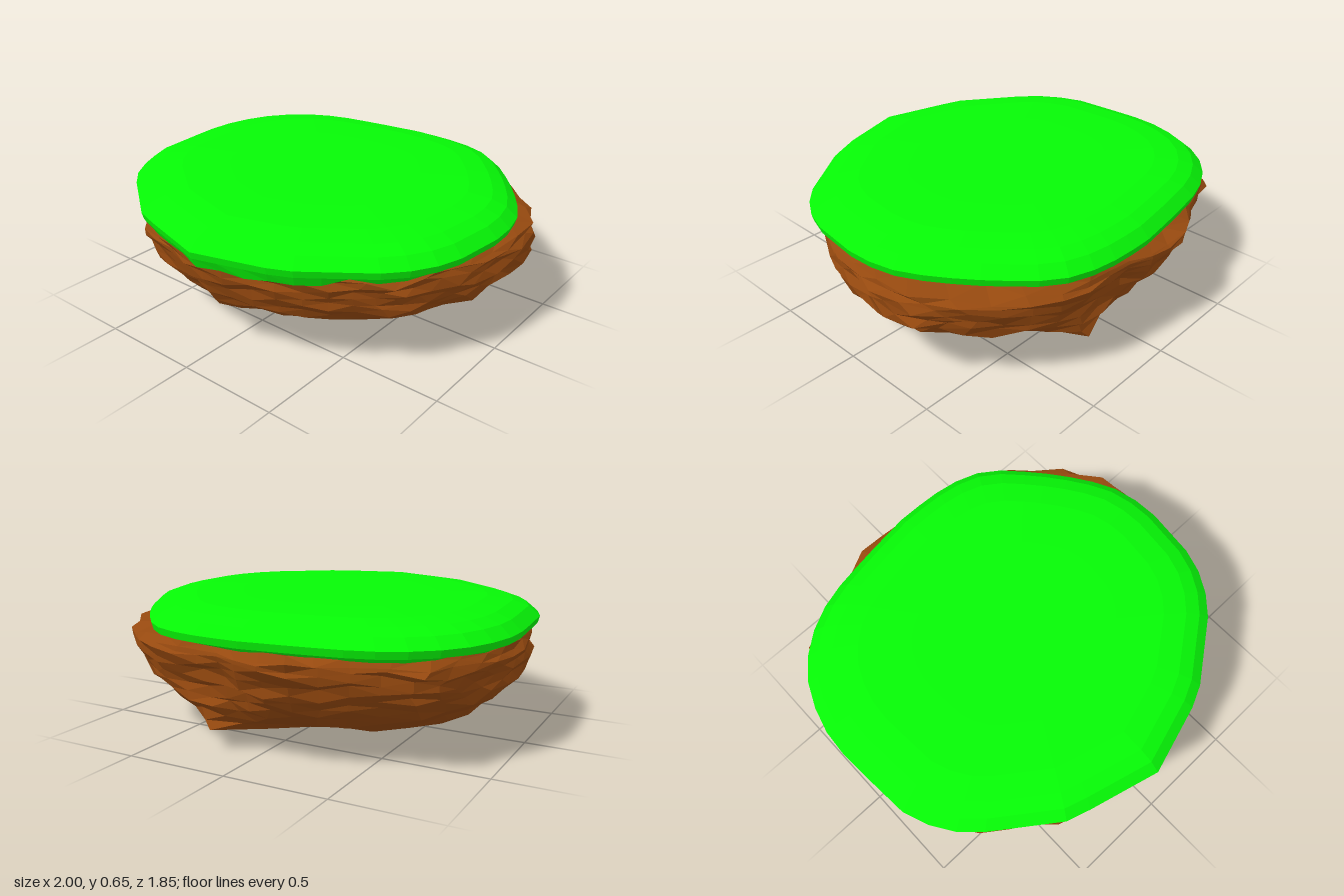
import * as THREE from 'three';
import { mergeVertices } from 'three/addons/utils/BufferGeometryUtils.js';

const SEGMENTS = 48;

// Plan outlines as [x, z], in order of rising angle from +x towards +z
const grassOutline = [
  [0.96, 0], [0.93, 0.25], [0.88, 0.4], [0.78, 0.54], [0.41, 0.81], [0, 0.93], [-0.45, 0.81],
  [-0.82, 0.54], [-0.91, 0.42], [-0.97, 0.28], [-0.99, 0], [-1, -0.2], [-0.97, -0.35],
  [-0.91, -0.5], [-0.8, -0.64], [-0.65, -0.75], [-0.45, -0.81], [-0.2, -0.85], [0.03, -0.88],
  [0.25, -0.87], [0.42, -0.84], [0.54, -0.77], [0.7, -0.6], [0.85, -0.4], [0.95, -0.2],
];
const rockOutline = [
  [0.97, 0], [0.96, 0.12], [0.9, 0.25], [0.76, 0.51], [0.4, 0.78], [0, 0.9], [-0.45, 0.81],
  [-0.8, 0.53], [-0.89, 0.42], [-0.95, 0.27], [-0.97, 0], [-0.97, -0.2], [-0.94, -0.36],
  [-0.88, -0.5], [-0.79, -0.69], [-0.62, -0.74], [-0.45, -0.82], [-0.3, -0.9], [-0.03, -0.93],
  [0.1, -0.88], [0.25, -0.86], [0.48, -0.84], [0.55, -0.81], [0.72, -0.69], [0.83, -0.58],
  [0.88, -0.48], [0.98, -0.38], [1, -0.2],
];

// Repeatable noise from 0 to 1
function noise(i, j) {
  const n = Math.sin(i * 127.1 + j * 311.7) * 43758.5453;
  return n - Math.floor(n);
}

// Distance from the centre to an outline along an angle
function reach(outline, angle) {
  const dx = Math.cos(angle), dz = Math.sin(angle);
  for (let k = 0; k < outline.length; k++) {
    const [px, pz] = outline[k], [qx, qz] = outline[(k + 1) % outline.length];
    if (px * dz - pz * dx >= -1e-9 && dx * qz - dz * qx > 0) {
      return (px * qz - pz * qx) / (dx * (qz - pz) - dz * (qx - px));
    }
  }
  return 1;
}

function makeMesh(name, geometry, color) {
  geometry.computeVertexNormals();
  const mesh = new THREE.Mesh(geometry, new THREE.MeshStandardMaterial({ color, flatShading: true }));
  mesh.name = name;
  return mesh;
}

// Grass cap: rings [scale, y] from a nearly flat top over a rounded rim to a ragged hem
function grassGeometry() {
  const rings = [[0, 0.65], [0.5, 0.648], [0.75, 0.643], [0.87, 0.628], [0.945, 0.602],
    [1, 0.555], [0.99, 0.52], [0.965, 0.475], [0.85, 0.475]];
  const positions = [], indices = [];
  rings.forEach(([scale, y], i) => {
    for (let j = 0; j < SEGMENTS; j++) {
      const angle = (j / SEGMENTS) * Math.PI * 2;
      const r = reach(grassOutline, angle) * scale;
      // The hem hangs lowest at the front
      const rise = 0.04 * THREE.MathUtils.clamp((0.9 - Math.sin(angle)) * 2, 0, 1);
      const hem = i >= 7 ? (noise(i, j) - 0.5) * 0.035 + rise : 0;
      positions.push(r * Math.cos(angle), y + hem, r * Math.sin(angle));
      if (i === rings.length - 1) continue;
      const a = i * SEGMENTS + j, b = i * SEGMENTS + (j + 1) % SEGMENTS;
      indices.push(a, b, a + SEGMENTS, b, b + SEGMENTS, a + SEGMENTS);
    }
  });
  const geometry = new THREE.BufferGeometry();
  geometry.setAttribute('position', new THREE.Float32BufferAttribute(positions, 3));
  geometry.setIndex(indices);
  return geometry;
}

// Rock body: a faceted ball reshaped by a profile from its top pole to its bottom pole
function rockGeometry() {
  // [y, scale towards +x, +z, -x and -z, extra bulge at the back]
  const profile = [
    [0.57, 0, 0, 0, 0, 0],
    [0.57, 0.4, 0.4, 0.4, 0.4, 0],
    [0.56, 0.8, 0.8, 0.8, 0.8, 0],
    [0.53, 0.95, 0.95, 0.95, 0.95, 0],
    [0.49, 0.985, 0.985, 0.985, 0.985, 0],
    [0.45, 1, 0.98, 1, 1, 0],
    [0.385, 0.99, 0.955, 0.995, 0.95, 0],
    [0.315, 0.965, 0.925, 0.985, 0.91, 0],
    [0.245, 0.9, 0.86, 0.91, 0.86, 0.06],
    [0.16, 0.62, 0.73, 0.83, 0.7, 0.2],
    [0.085, 0.46, 0.54, 0.6, 0.52, 0.36],
    [0.03, 0.27, 0.3, 0.32, 0.28, 0.1],
    [-0.01, 0, 0, 0, 0, 0],
  ];
  const ball = new THREE.IcosahedronGeometry(1, 7);
  ball.deleteAttribute('normal');
  ball.deleteAttribute('uv');
  const geometry = mergeVertices(ball, 1e-3);
  const position = geometry.attributes.position;
  const v = new THREE.Vector3();
  for (let k = 0; k < position.count; k++) {
    v.fromBufferAttribute(position, k).normalize();
    const angle = Math.atan2(v.z, v.x), c = Math.cos(angle), s = Math.sin(angle);
    const t = (Math.acos(v.y) / Math.PI) * (profile.length - 1);
    const row = Math.min(Math.floor(t), profile.length - 2);
    const [y, right, front, left, rear, bulge] = profile[row].map(
      (value, n) => THREE.MathUtils.lerp(value, profile[row + 1][n], t - row));
    const scale = c * c * (c > 0 ? right : left) + s * s * (s > 0 ? front : rear);
    const back = s < 0 ? Math.exp(-(((c - 0.28) / 0.3) ** 2)) : 0;
    let r = reach(rockOutline, angle) * (scale + bulge * back)
      + (noise(k, 1) - 0.55) * 0.035 * Math.min(1, scale * 2);
    // Tuck the top of the rock inside the grass
    if (y > 0.5) r = Math.min(r, reach(grassOutline, angle) * 0.95);
    const bump = (noise(k, 2) - 0.5) * THREE.MathUtils.clamp(y, 0, 0.025);
    // The lowest point lies a little right of and behind the centre
    const low = Math.max(0, 1 - y / 0.12) * (1 - scale);
    position.setXYZ(k, r * c + 0.08 * low, Math.max(0, y + bump), r * s - 0.1 * low);
  }
  return geometry;
}

export function createModel() {
  const island = new THREE.Group();
  island.name = 'island';
  island.add(makeMesh('grassTop', grassGeometry(), 0x06fa06));
  island.add(makeMesh('rockBase', rockGeometry(), 0x96490f));
  return island;
}
